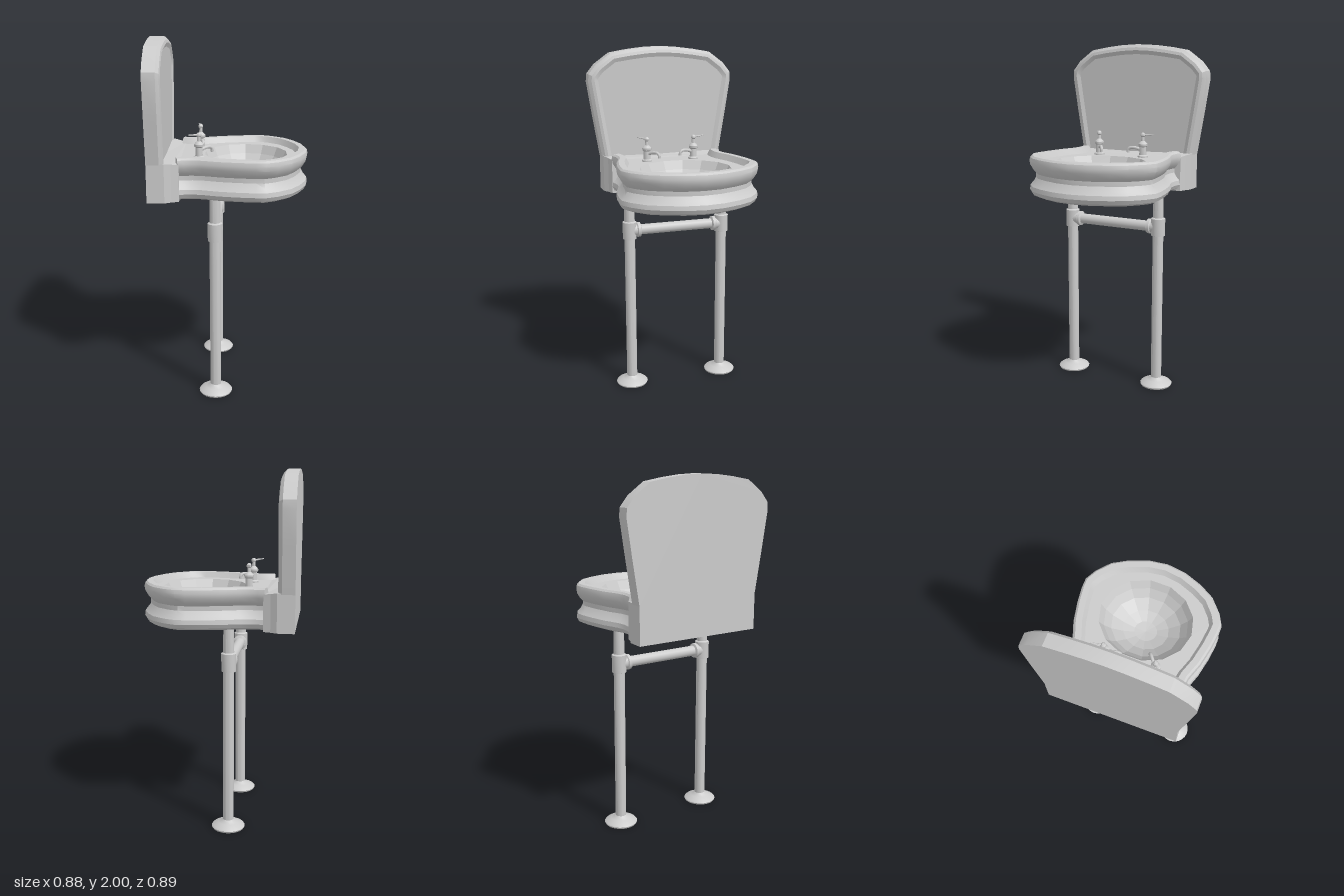
import * as THREE from 'three';
import { toCreasedNormals } from 'three/addons/utils/BufferGeometryUtils.js';

const grey = new THREE.MeshStandardMaterial({ color: 0xcccccc, side: THREE.DoubleSide });
const faceted = new THREE.MeshStandardMaterial({ color: 0xcccccc, side: THREE.DoubleSide, flatShading: true });

function add(parent, name, geometry, material = grey) {
  const mesh = new THREE.Mesh(geometry, material);
  mesh.name = name;
  parent.add(mesh);
  return mesh;
}

// Skin over a list of equally long rows of [x, y, z] points
function loft(rows, crease = 0.5) {
  const n = rows[0].length, index = [];
  for (let i = 0; i < rows.length - 1; i++) {
    for (let j = 0; j < n - 1; j++) {
      const a = i * n + j, b = a + n;
      index.push(a, b, a + 1, b, b + 1, a + 1);
    }
  }
  const g = new THREE.BufferGeometry();
  g.setAttribute('position', new THREE.Float32BufferAttribute(rows.flat(2), 3));
  g.setIndex(index);
  return toCreasedNormals(g, crease);
}

const lathe = (points, sides) => toCreasedNormals(
  new THREE.LatheGeometry(points.map(p => new THREE.Vector2(...p)), sides), 0.6);

// Move an open outline inward along its normals
function inset(points, d) {
  return points.map(([u, v], i) => {
    const a = points[Math.max(i - 1, 0)], b = points[Math.min(i + 1, points.length - 1)];
    const tu = b[0] - a[0], tv = b[1] - a[1], l = Math.hypot(tu, tv);
    return [u + d * tv / l, v - d * tu / l];
  });
}

// Mirror half an outline; its last point lies on the axis
const mirrorV = half => [...half, ...half.slice(0, -1).reverse().map(([u, v]) => [u, -v])];

// Horizontal sheet from [x, z] points
function sheet(points, y, hole) {
  const s = new THREE.Shape(points.map(([x, z]) => new THREE.Vector2(x, -z)));
  if (hole) s.holes.push(new THREE.Path(hole.map(([x, z]) => new THREE.Vector2(x, -z))));
  return new THREE.ShapeGeometry(s).rotateX(-Math.PI / 2).translate(0, y, 0);
}

const BOWL = { x: 0.09, rx: 0.236, rz: 0.262, sides: 14, y: 1.352 };

function basin() {
  const g = new THREE.Group();
  g.name = 'basin';
  const outline = mirrorV([[-0.275, 0.337], [-0.24, 0.328], [-0.2, 0.325], [-0.15, 0.332], [-0.06, 0.364],
    [0.05, 0.387], [0.14, 0.398], [0.195, 0.398], [0.26, 0.365], [0.335, 0.3], [0.385, 0.215], [0.425, 0.11], [0.44, 0]]);

  // Moulded side and raised rim: [inset, y]
  const profile = [[0.04, 1.155], [0.012, 1.168], [0, 1.19], [0.004, 1.215], [0.022, 1.235], [0.036, 1.26],
    [0.036, 1.285], [0.022, 1.3], [0.004, 1.33], [0, 1.355], [0.005, 1.375], [0.016, 1.385], [0.05, 1.385], [0.068, 1.352]];
  const rings = profile.map(([d, y]) => inset(outline, d).map(([x, z]) => [x, y, z]));
  add(g, 'rim', loft(rings));

  // Closed ends of the rim beside the back ledge
  for (const k of [0, outline.length - 1]) {
    const edge = rings.map(r => r[k]);
    const centre = inset(outline, 0.05)[k];
    add(g, 'rimEnd', loft([edge, edge.map(() => [centre[0], 1.27, centre[1]])]));
  }

  add(g, 'underside', sheet(inset(outline, 0.04), 1.155).scale(1, 1, 1));

  const ring = Array.from({ length: BOWL.sides }, (_, i) => {
    const a = Math.PI / 2 + i * 2 * Math.PI / BOWL.sides;
    return [BOWL.x + BOWL.rx * Math.cos(a), BOWL.rz * Math.sin(a)];
  });
  add(g, 'deck', sheet(inset(outline, 0.06), BOWL.y, ring));

  // Faceted bowl
  const rows = [[1, 0], [0.9, 0.05], [0.75, 0.1], [0.5, 0.145], [0.25, 0.168], [0, 0.175]].map(([s, drop]) =>
    [...ring, ring[0]].map(([x, z]) => [BOWL.x + (x - BOWL.x) * s, BOWL.y - drop, z * s]));
  add(g, 'bowl', loft(rows, 0), faceted);
  return g;
}

function back() {
  const g = new THREE.Group();
  g.name = 'back';

  // Block joining basin and splashback, with a top sloping to the deck
  const half = [[-0.44, 0.372], [-0.345, 0.37], [-0.31, 0.35], [-0.27, 0.336]];
  const plan = [...half, ...half.slice().reverse().map(([x, z]) => [x, -z])];
  const block = new THREE.ExtrudeGeometry(
    new THREE.Shape(plan.map(([x, z]) => new THREE.Vector2(x, -z))), { depth: 0.2, bevelEnabled: false });
  block.rotateX(-Math.PI / 2).translate(0, 1.152, 0);
  const p = block.attributes.position;
  for (let i = 0; i < p.count; i++) {
    if (p.getY(i) > 1.3) p.setY(i, 1.352 + 0.013 * Math.min(1, (-0.27 - p.getX(i)) / 0.075));
  }
  block.computeVertexNormals();
  add(g, 'ledgeBlock', block);

  // Flared splashback with chamfered border: outline in [y, z]
  const outline = mirrorV([[1.36, 0.373], [1.6, 0.413], [1.8, 0.444], [1.845, 0.44], [1.9, 0.395],
    [1.965, 0.305], [1.983, 0.2], [1.995, 0.1], [2, 0]]);
  const rows = [[-0.44, 0], [-0.37, 0], [-0.353, 0.018], [-0.348, 0.035], [-0.358, 0.058]].map(([x, d]) =>
    inset(outline, d).map(([y, z]) => [x, y, z]));
  rows.forEach(r => { r[0][1] = r[r.length - 1][1] = 1.358; });
  add(g, 'splashbackBorder', loft(rows, 0.4));
  for (const [name, row] of [['splashbackRear', rows[0]], ['splashbackPanel', rows[4]]]) {
    const s = new THREE.Shape(row.map(([, y, z]) => new THREE.Vector2(-z, y)));
    add(g, name, new THREE.ShapeGeometry(s).rotateY(Math.PI / 2).translate(row[0][0], 0, 0));
  }
  return g;
}

function stand() {
  const g = new THREE.Group();
  g.name = 'stand';
  for (const side of [1, -1]) {
    // Pipe leg with floor flange and collar
    const leg = add(g, 'leg', lathe([[0, 0], [0.09, 0], [0.095, 0.01], [0.088, 0.018], [0.055, 0.032], [0.038, 0.042],
      [0.031, 0.05], [0.031, 0.915], [0.04, 0.918], [0.041, 1.018], [0.031, 1.024], [0.029, 1.16]], 20));
    leg.position.set(-0.08, 0, side * 0.285);
    const socket = add(g, 'crossbarSocket', lathe([[0.036, 0], [0.036, 0.04], [0.043, 0.045], [0.043, 0.062], [0.03, 0.068]], 20));
    socket.position.set(-0.08, 0.968, side * 0.285);
    socket.rotation.x = -side * Math.PI / 2;
  }
  const bar = add(g, 'crossbar', new THREE.CylinderGeometry(0.03, 0.03, 0.56, 20));
  bar.position.set(-0.08, 0.968, 0);
  bar.rotation.x = Math.PI / 2;
  return g;
}

// Tap with the spout along its own +x and the lever along -x
function tap(name, x, z, angle) {
  const g = new THREE.Group();
  g.name = name;
  add(g, 'tapBody', lathe([[0.03, 0], [0.03, 0.008], [0.021, 0.014], [0.019, 0.06], [0.026, 0.066], [0.027, 0.078],
    [0.018, 0.088], [0.01, 0.095], [0.009, 0.118], [0.014, 0.124], [0.014, 0.133], [0.007, 0.142], [0, 0.143]], 14));
  const path = new THREE.CatmullRomCurve3([[0, 0.04], [0.045, 0.054], [0.075, 0.054], [0.088, 0.044], [0.09, 0.026]]
    .map(([u, v]) => new THREE.Vector3(u, v, 0)));
  add(g, 'spout', new THREE.TubeGeometry(path, 12, 0.009, 8));
  const lever = add(g, 'lever', new THREE.CylinderGeometry(0.003, 0.006, 0.068, 8));
  lever.position.set(-0.034, 0.132, 0);
  lever.rotation.z = Math.PI / 2 - 0.08;
  g.position.set(x, BOWL.y, z);
  g.rotation.y = angle;
  return g;
}

export function createModel() {
  const model = new THREE.Group();
  model.name = 'washbasin';
  model.add(basin(), back(), stand(), tap('rightTap', -0.173, -0.138, -1.37), tap('leftTap', -0.17, 0.15, 0.66));
  return model;
}
